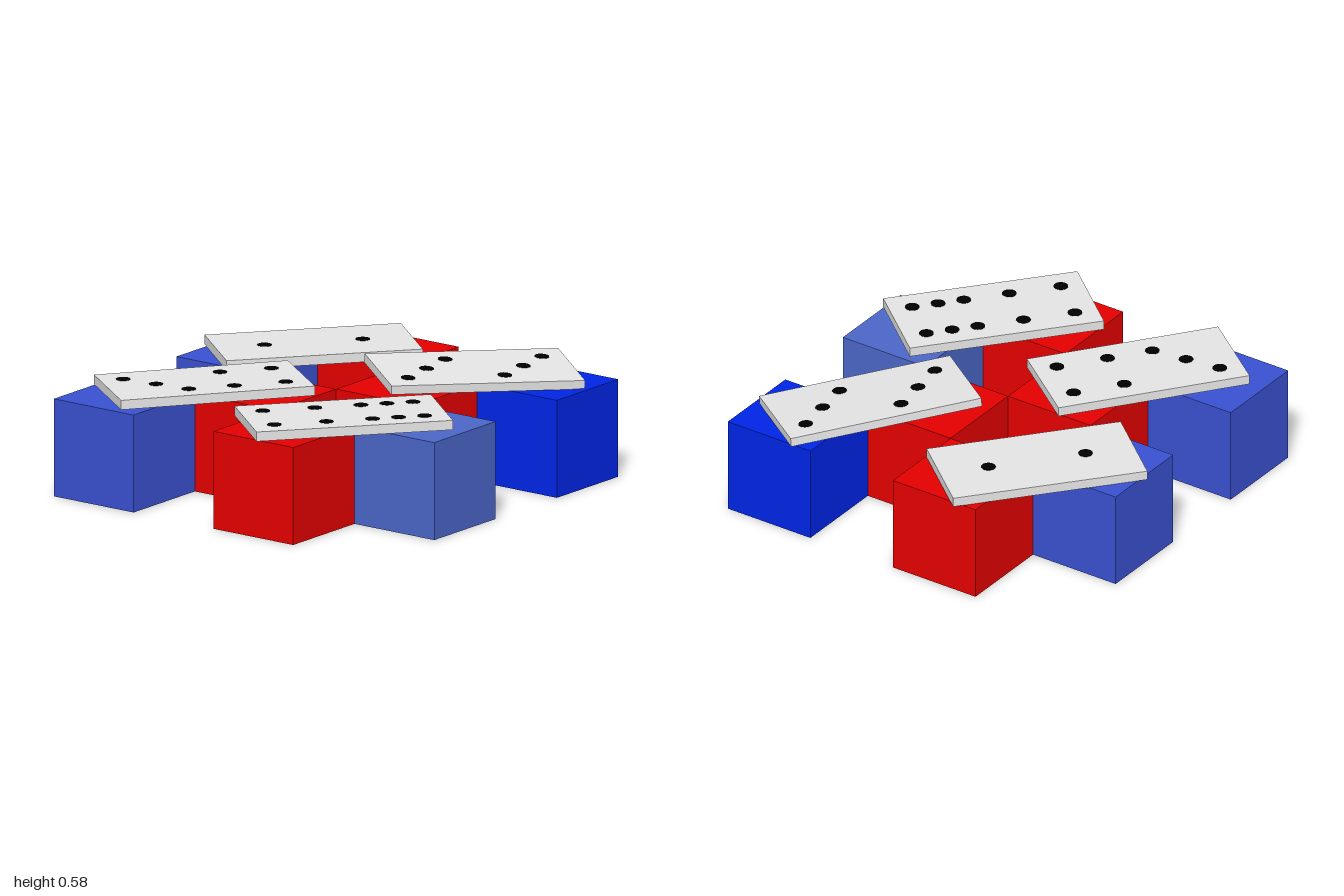
import * as THREE from 'three';

const material = (name, color) => {
  const m = new THREE.MeshStandardMaterial({ color });
  m.name = name;
  return m;
};

const WIDTH = 0.465, LENGTH = 0.928, PIP_STEP = 0.123;

// Pip layouts in one half tile: [across, along] in steps
const CENTRE = [[0, 0]];
const DIAGONAL = [[-1, 1], [0, 0], [1, -1]];
const COUNTER_DIAGONAL = [[-1, -1], [0, 0], [1, 1]];
const FOUR = [[-1, 1], [1, 1], [-1, -1], [1, -1]];
const SIX = [[-1, 1], [-1, 0], [-1, -1], [1, 1], [1, 0], [1, -1]];

export function createModel() {
  const red = material('red', 0xe60000);
  const vividBlue = material('vivid blue', 0x0025e8);
  const mediumBlue = material('medium blue', 0x3a51d1);
  const paleBlue = material('pale blue', 0x4b66c8);
  const grey = material('tile grey', 0xe5e5e5);
  const black = material('pip black', 0x000000);

  const model = new THREE.Group();
  model.name = 'dominoesOnCubes';

  // Checkerboard of cubes: [column, row, material], rows from back to front
  const cell = 0.464, height = 0.466;
  const cubeGeometry = new THREE.BoxGeometry(cell, height, cell);
  [
    [1, 0, red], [3, 0, vividBlue],
    [0, 1, mediumBlue], [2, 1, red],
    [1, 2, red], [3, 2, paleBlue],
    [0, 3, mediumBlue], [2, 3, red],
  ].forEach(([column, row, mat]) => {
    const cube = new THREE.Mesh(cubeGeometry, mat);
    cube.name = mat === red ? 'redCube' : 'blueCube';
    cube.position.set(-0.915 + (column + 0.5) * cell, height / 2, -0.942 + (row + 0.5) * cell);
    model.add(cube);
  });

  const pipGeometry = new THREE.CylinderGeometry(0.034, 0.034, 0.003, 24);

  // A domino: its top face lies at local y = 0 and its length runs along z
  function addDomino({ name, x, top, z, turn, thick, back, front, split = false, tilt = [0, 0] }) {
    const domino = new THREE.Group();
    domino.name = name;
    domino.position.set(x, top, z);
    domino.rotation.set(tilt[0], -turn, tilt[1], 'YXZ');

    // Slab, either whole or as two abutting halves
    const length = split ? LENGTH / 2 : LENGTH;
    for (const side of split ? [-1, 1] : [0]) {
      const slab = new THREE.Mesh(new THREE.BoxGeometry(WIDTH, thick, length), grey);
      slab.name = split ? 'halfTile' : 'tile';
      slab.position.set(0, -thick / 2, side * length / 2);
      domino.add(slab);
    }

    // Pips on both halves
    [[back, -1], [front, 1]].forEach(([layout, side]) => {
      for (const [u, v] of layout) {
        const pip = new THREE.Mesh(pipGeometry, black);
        pip.name = 'pip';
        pip.position.set(u * PIP_STEP, 0, side * LENGTH / 4 - v * PIP_STEP);
        domino.add(pip);
      }
    });
    model.add(domino);
  }

  addDomino({ name: 'backRightDomino', x: -0.469, top: 0.511, z: -0.472, turn: 0.695, thick: 0.045,
    back: CENTRE, front: CENTRE });
  addDomino({ name: 'backLeftDomino', x: 0.456, top: 0.542, z: -0.489, turn: 0.64, thick: 0.042,
    back: DIAGONAL, front: DIAGONAL, tilt: [-0.046, -0.07] });
  addDomino({ name: 'frontRightDomino', x: -0.4, top: 0.538, z: 0.444, turn: 0.643, thick: 0.045,
    back: FOUR, front: COUNTER_DIAGONAL, split: true });
  addDomino({ name: 'frontLeftDomino', x: 0.448, top: 0.534, z: 0.494, turn: 0.695, thick: 0.045,
    back: SIX, front: FOUR });

  return model;
}
